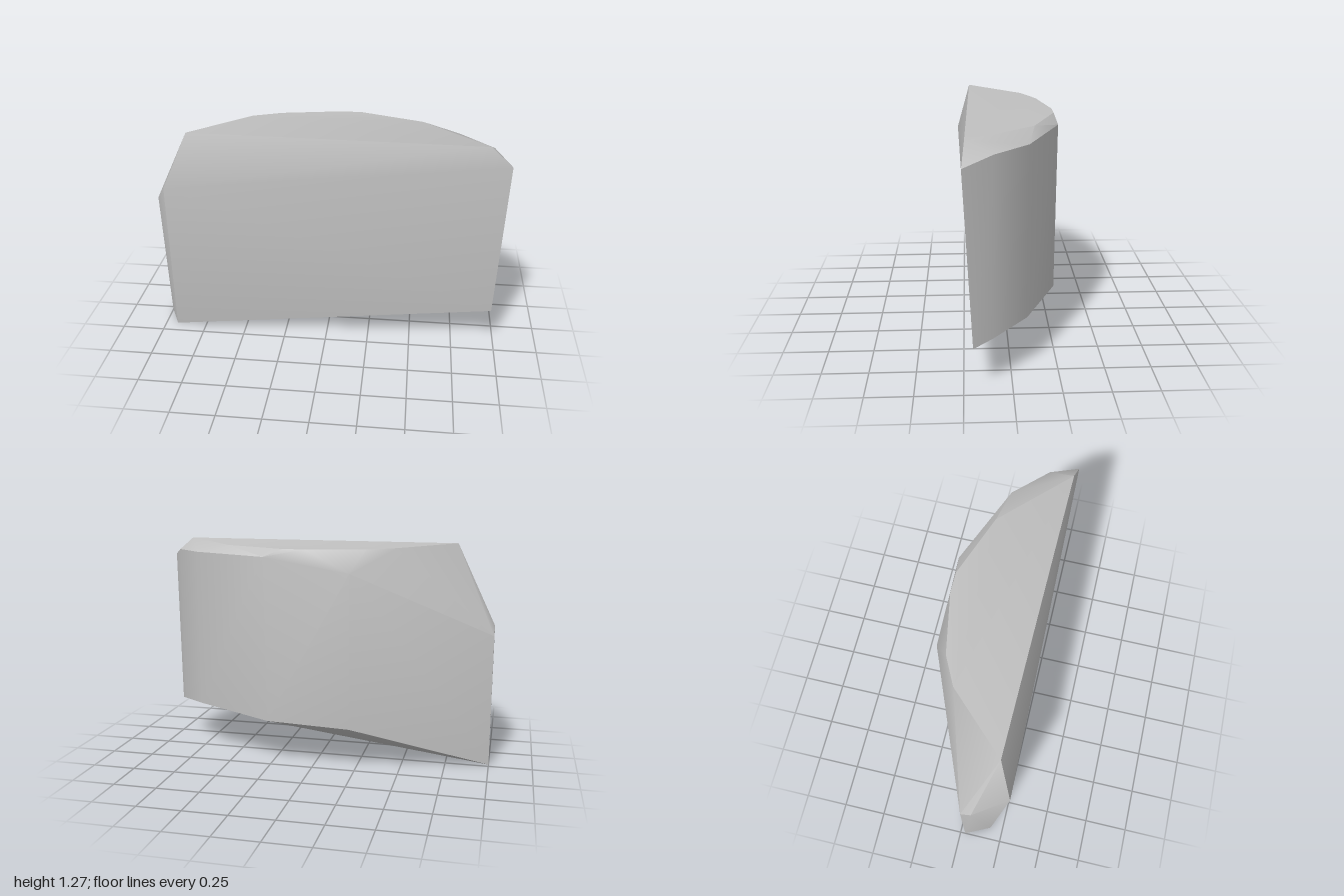
import * as THREE from 'three';
import { toCreasedNormals } from 'three/addons/utils/BufferGeometryUtils.js';
import { ConvexGeometry } from 'three/addons/geometries/ConvexGeometry.js';

export function createModel() {
  const group = new THREE.Group();
  group.name = 'stoneSlab';
  const stone = new THREE.MeshStandardMaterial({ color: 0xc0c0c0 });
  stone.name = 'grey stone';

  // Slanted underside, front edge first, then round the curved back
  const underside = [
    [-0.93, 0, 0.175], [0.97, 0.24, 0.2], [0.91, 0.265, 0.1],
    [0.73, 0.295, -0.085], [0.26, 0.27, -0.27], [-0.22, 0.25, -0.265], [-1, 0, 0.03],
  ];
  // Widest outline, just below the chamfered top
  const shoulder = [
    [-0.9, 0.97, 0.28], [1, 1.17, 0.245], [0.91, 1.215, 0.09],
    [0.73, 1.22, -0.09], [0.27, 1.22, -0.278], [-0.22, 1.14, -0.278],
    [-1, 0.77, 0.03], [-1, 0.82, 0.09],
  ];
  // Almost level top
  const top = [
    [-0.77, 1.275, 0.2], [0.88, 1.275, 0.23], [0.52, 1.268, -0.13],
    [0.16, 1.265, -0.264], [0.04, 1.265, -0.264], [-0.3, 1.265, -0.2], [-0.46, 1.27, -0.12],
  ];

  const points = [...underside, ...shoulder, ...top].map((p) => new THREE.Vector3(...p));
  // Soft back curve, crisp rims
  const geometry = toCreasedNormals(new ConvexGeometry(points), 0.6);
  const slab = new THREE.Mesh(geometry, stone);
  slab.name = 'slab';
  group.add(slab);
  return group;
}
